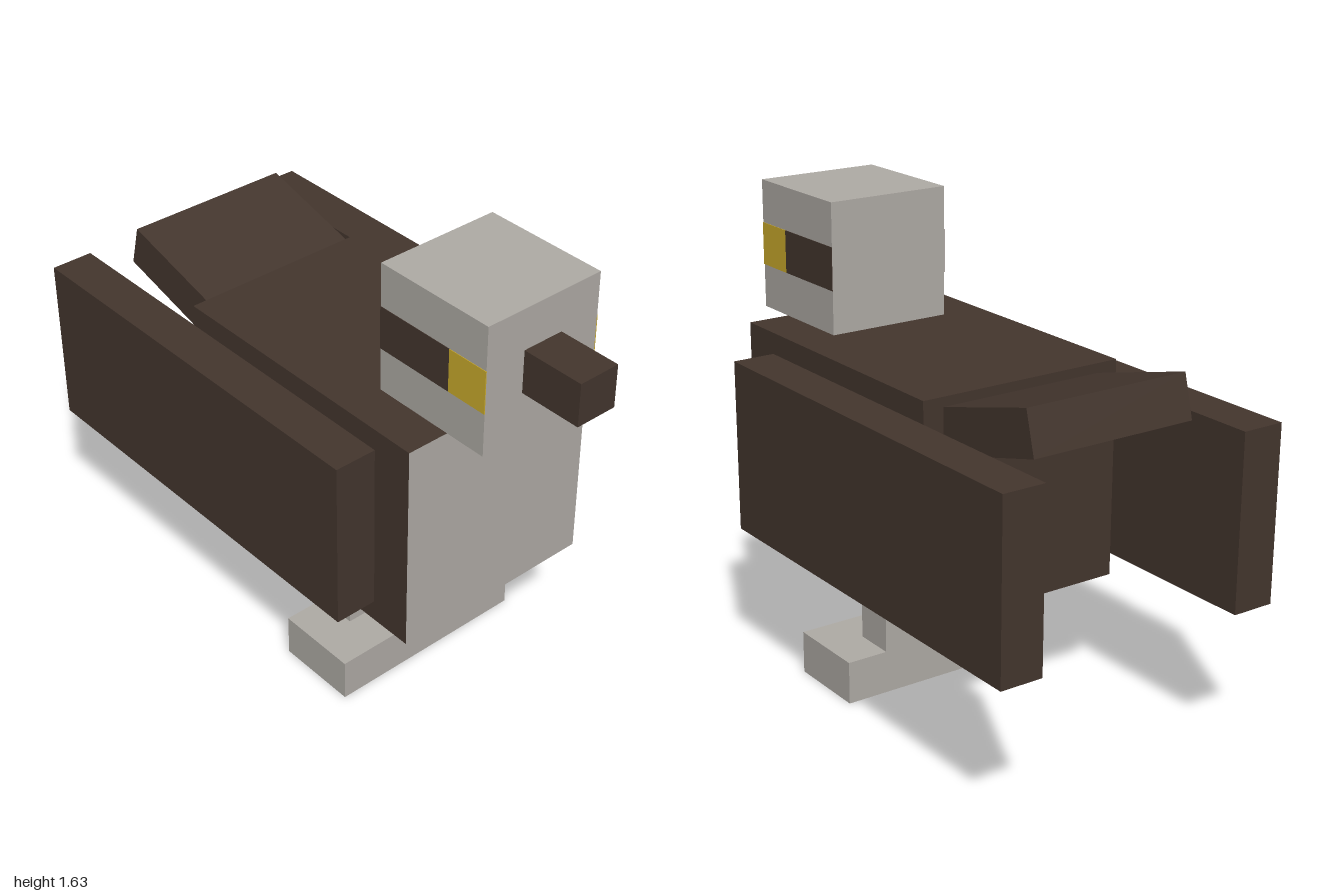
import * as THREE from 'three';

export function createModel() {
  const model = new THREE.Group();
  model.name = 'blockBird';

  const material = (name, color) => {
    const m = new THREE.MeshStandardMaterial({ color });
    m.name = name;
    return m;
  };
  const brown = material('brown', 0x44362e);
  const grey = material('grey', 0xb0aca6);
  const yellow = material('yellow', 0xccac2d);

  // Box given by its lower and upper corners
  const block = (name, mat, [x0, y0, z0], [x1, y1, z1]) => {
    const mesh = new THREE.Mesh(new THREE.BoxGeometry(x1 - x0, y1 - y0, z1 - z0), mat);
    mesh.position.set((x0 + x1) / 2, (y0 + y1) / 2, (z0 + z1) / 2);
    mesh.name = name;
    model.add(mesh);
    return mesh;
  };

  // Body: brown back and sides, grey breast (+z) and belly (-y)
  block('body', [brown, brown, brown, grey, grey, brown],
    [-0.37, 0.446, -0.405], [0.37, 1.187, 0.63]);

  // Head and beak
  block('head', grey, [-0.222, 1.187, 0.335], [0.222, 1.632, 0.78]);
  block('beak', brown, [-0.074, 1.343, 0.78], [0.074, 1.49, 1]);

  // Tail, tilted upward and rooted in the back of the body
  const tail = new THREE.Mesh(new THREE.BoxGeometry(0.593, 0.148, 0.593), brown);
  tail.name = 'tail';
  tail.position.set(0, 1.115, -0.543);
  tail.rotation.x = THREE.MathUtils.degToRad(15);
  model.add(tail);

  // Joined feet
  block('feet', grey, [-0.37, 0, 0.04], [0.37, 0.15, 0.335]);

  // Mirrored parts
  for (const [side, s] of [['left', 1], ['right', -1]]) {
    const pair = (name, mat, xa, xb, y0, y1, z0, z1) =>
      block(side + name, mat, [Math.min(s * xa, s * xb), y0, z0], [Math.max(s * xa, s * xb), y1, z1]);

    pair('Wing', brown, 0.37, 0.518, 0.521, 1.113, -1, 0.48);
    pair('Leg', grey, 0.074, 0.222, 0.15, 0.446, 0.04, 0.188);
    // Eye and the dark stripe behind it, as thin plates
    pair('Eye', yellow, 0.221, 0.224, 1.337, 1.484, 0.63, 0.78);
    pair('EyeStripe', brown, 0.221, 0.224, 1.337, 1.484, 0.335, 0.63);
  }
  return model;
}
